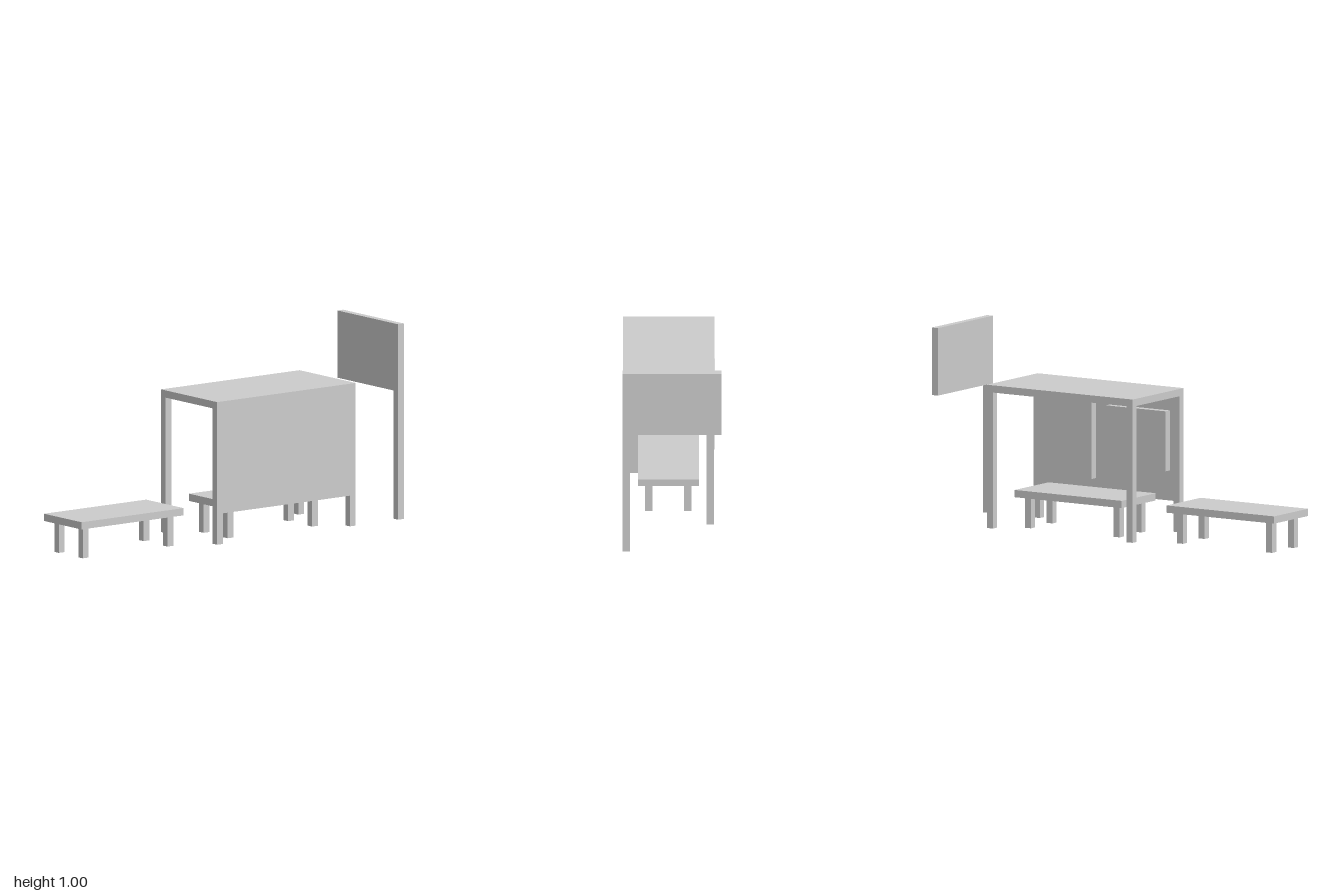
import * as THREE from 'three';

const T = 0.037; // shared board thickness and leg width
const material = new THREE.MeshStandardMaterial({ color: 0xcccccc, flatShading: true });

// Box given by its minimum and maximum corners
function box(parent, name, [x0, y0, z0], [x1, y1, z1]) {
  const mesh = new THREE.Mesh(new THREE.BoxGeometry(x1 - x0, y1 - y0, z1 - z0), material);
  mesh.position.set((x0 + x1) / 2, (y0 + y1) / 2, (z0 + z1) / 2);
  mesh.name = name;
  parent.add(mesh);
}

function group(parent, name) {
  const g = new THREE.Group();
  g.name = name;
  parent.add(g);
  return g;
}

// Four square legs at the corners of a rectangle
function legs(parent, name, x0, x1, z0, z1, height) {
  for (const x of [x0, x1 - T])
    for (const z of [z0, z1 - T]) box(parent, name, [x, 0, z], [x + T, height, z + T]);
}

// Low bench with its legs set in from the edges
function bench(parent, name, z0, z1) {
  const g = group(parent, name);
  const x0 = -0.135, x1 = 0.172, seat = 0.157;
  box(g, 'benchSeat', [x0, seat, z0], [x1, seat + T, z1]);
  legs(g, 'benchLeg', x0 + T, x1 - T, z0 + T, z1 - T, seat);
}

export function createModel() {
  const model = new THREE.Group();
  model.name = 'tableWithBenchesAndSign';

  // Benches: one in front, one under the table
  bench(model, 'frontBench', 0.348, 1);
  bench(model, 'innerBench', -0.575, 0.075);

  // Table with a closed side
  const table = group(model, 'table');
  const x0 = -0.212, x1 = 0.248, z0 = -0.692, z1 = 0.193, under = 0.693;
  box(table, 'tableTop', [x0, under, z0], [x1, under + T, z1]);
  legs(table, 'tableLeg', x0, x1, z0, z1, under);
  box(table, 'sidePanel', [x1 - T, 0.157, z0 + T], [x1, under, z1 - T]);

  // Boards mounted on the inside of the side panel
  box(table, 'tallBoard', [0.172, 0.233, -0.578], [x1 - T, 0.655, -0.314]);
  box(table, 'wideBoard', [0.172, 0.31, -0.226], [x1 - T, 0.616, 0.134]);

  // Sign on a single post behind the table
  const sign = group(model, 'sign');
  box(sign, 'signBoard', [-0.25, 0.656, -1], [x1, 1, -1 + T]);
  box(sign, 'signPost', [x1 - T, 0, -1], [x1, 0.656, -1 + T]);

  return model;
}
